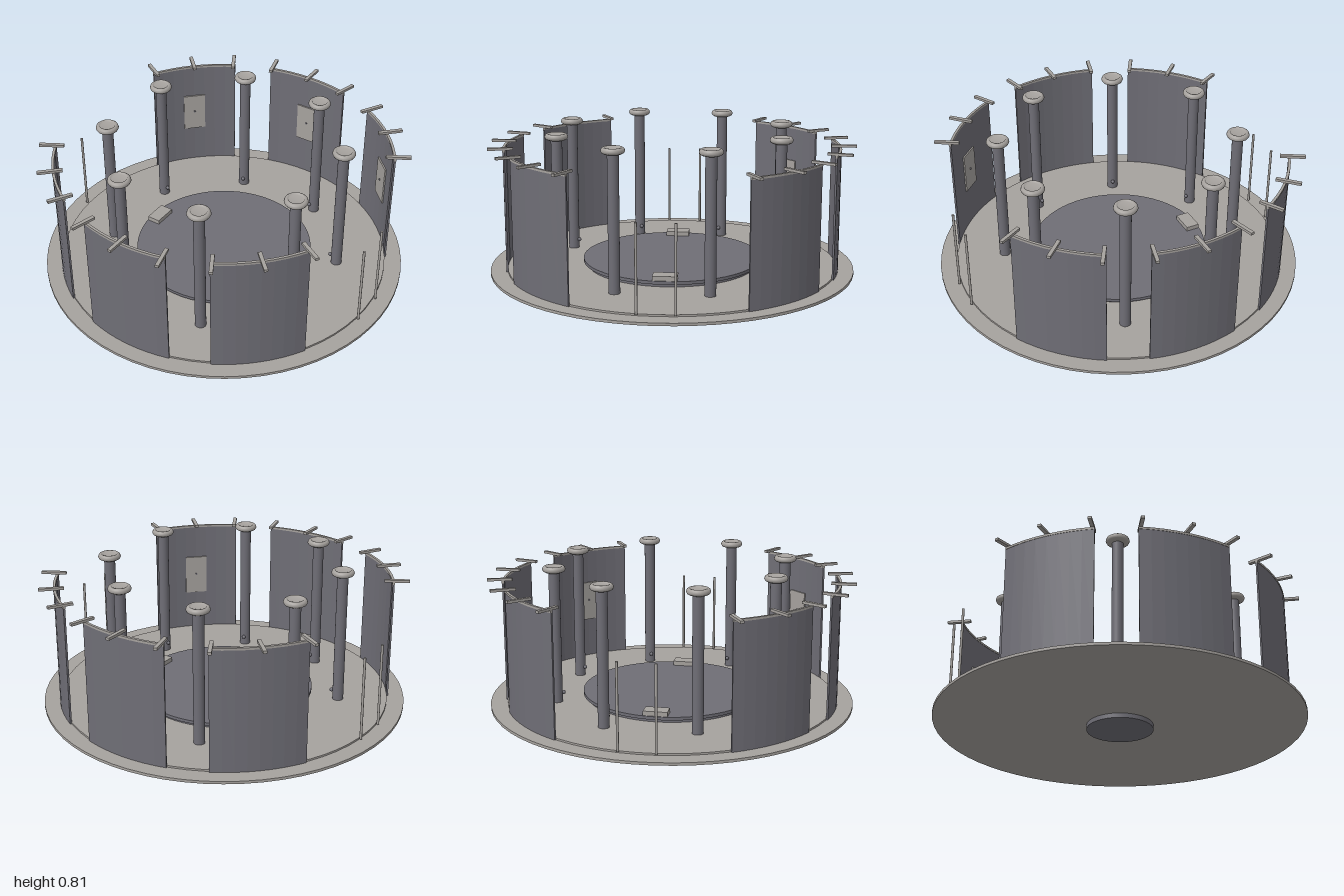
import * as THREE from 'three';

const DEG = Math.PI / 180;

export function createModel() {
  const model = new THREE.Group();
  model.name = 'roundPavilion';
  const light = new THREE.MeshStandardMaterial({ color: 0xa6a29e });
  light.name = 'warm light grey';
  const dark = new THREE.MeshStandardMaterial({ color: 0x6f6e76 });
  dark.name = 'cool dark grey';

  const add = (parent, name, geometry, material, x = 0, y = 0, z = 0) => {
    const mesh = new THREE.Mesh(geometry, material);
    mesh.name = name;
    mesh.position.set(x, y, z);
    parent.add(mesh);
    return mesh;
  };
  // disc between two heights
  const disc = (name, r, y0, y1, material) =>
    add(model, name, new THREE.CylinderGeometry(r, r, y1 - y0, 64), material, 0, (y0 + y1) / 2);
  // group turned so that its local +z points outwards at the given angle
  const spoke = (name, degrees, parent = model) => {
    const g = new THREE.Group();
    g.name = name;
    g.rotation.y = degrees * DEG;
    parent.add(g);
    return g;
  };
  // curved slab centred on local +z
  const arcSlab = (r0, r1, half, y0, y1, steps = 8) => {
    const pts = [];
    const point = (r, a) => pts.push(new THREE.Vector2(r * Math.sin(a), r * Math.cos(a)));
    for (let i = 0; i <= steps; i++) point(r1, (-half + (2 * half * i) / steps) * DEG);
    for (let i = steps; i >= 0; i--) point(r0, (-half + (2 * half * i) / steps) * DEG);
    const geo = new THREE.ExtrudeGeometry(new THREE.Shape(pts), { depth: y1 - y0, bevelEnabled: false });
    return geo.rotateX(Math.PI / 2).translate(0, y1, 0);
  };

  // base, hub and turntable
  disc('hub', 0.18, 0, 0.026, dark);
  disc('basePlate', 1, 0.025, 0.04, light);
  disc('floor', 0.907, 0.04, 0.05, light);
  disc('turntableFoot', 0.47, 0.05, 0.068, dark);
  disc('turntable', 0.49, 0.068, 0.085, dark);
  for (const s of [1, -1]) {
    const block = add(model, 'turntableBlock', new THREE.BoxGeometry(0.13, 0.025, 0.075), light,
      s * 0.172, 0.0975, s * 0.41);
    block.rotation.y = 22.5 * DEG;
  }

  // curved walls; two opposite bays are left open with a pair of thin posts
  const wallGeo = arcSlab(0.905, 0.915, 15.7, 0.04, 0.7);
  const railGeo = arcSlab(0.903, 0.917, 15.7, 0.7, 0.712);
  const bracketGeo = new THREE.BoxGeometry(0.02, 0.014, 0.135);
  const postGeo = new THREE.CylinderGeometry(0.007, 0.007, 0.46, 10);
  const panelGeo = new THREE.BoxGeometry(0.128, 0.23, 0.008);
  const dotGeo = new THREE.CylinderGeometry(0.006, 0.006, 0.006, 12).rotateX(Math.PI / 2);
  const panelBays = [1, 2, 3, 7];
  for (let i = 0; i < 8; i++) {
    const bay = spoke('bay', 22.5 + 45 * i);
    if (i % 4 === 0) {
      for (const a of [-6, 6]) add(spoke('postSpoke', a, bay), 'post', postGeo, light, 0, 0.28, 0.92);
      continue;
    }
    add(bay, 'wall', wallGeo, dark);
    add(bay, 'wallRail', railGeo, light);
    for (const a of [-15, 0, 15]) {
      add(spoke('bracketSpoke', a, bay), 'bracket', bracketGeo, light, 0, 0.719, 0.928);
    }
    if (panelBays.includes(i)) {
      add(bay, 'panel', panelGeo, light, 0, 0.395, 0.899);
      add(bay, 'panelDot', dotGeo, dark, 0, 0.4, 0.893);
    }
  }

  // ring of columns with rounded, dished caps
  const columnGeo = new THREE.CylinderGeometry(0.03, 0.03, 0.73, 24);
  const capProfile = [[0.028, 0.773], [0.046, 0.774], [0.057, 0.78], [0.062, 0.79], [0.058, 0.802],
    [0.05, 0.808], [0.042, 0.807], [0.038, 0.8], [0, 0.8]].map(([r, y]) => new THREE.Vector2(r, y));
  const capGeo = new THREE.LatheGeometry(capProfile, 28);
  const knobGeo = new THREE.SphereGeometry(0.011, 10, 8);
  for (let i = 0; i < 8; i++) {
    const column = spoke('column', 45 * i);
    add(column, 'shaft', columnGeo, dark, 0, 0.415, 0.64);
    add(column, 'cap', capGeo, light, 0, 0, 0.64);
    add(column, 'knob', knobGeo, dark, 0, 0.1, 0.604);
  }
  return model;
}
